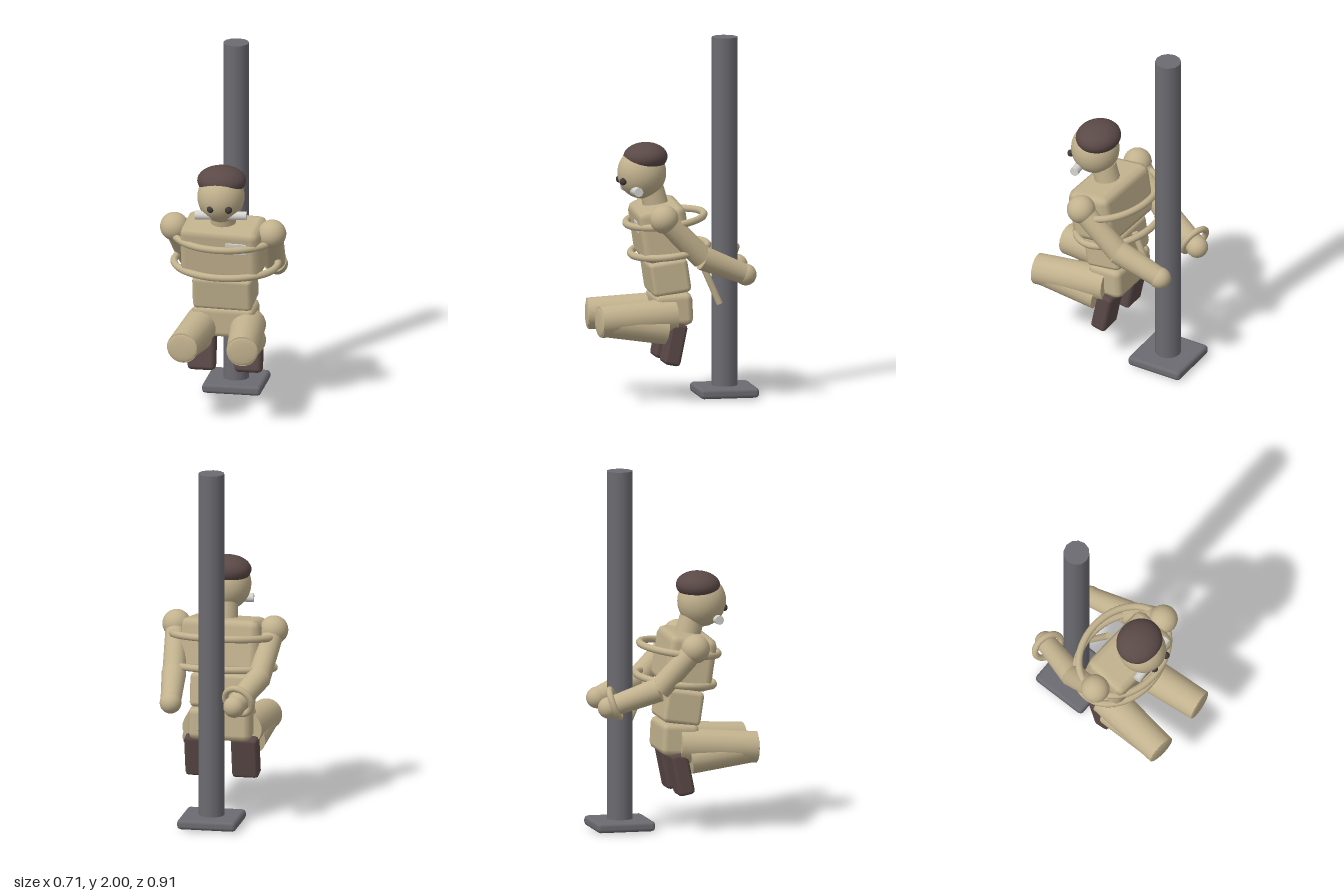
import * as THREE from 'three';
import { RoundedBoxGeometry } from 'three/addons/geometries/RoundedBoxGeometry.js';

const material = (name, color) => {
  const m = new THREE.MeshStandardMaterial({ color });
  m.name = name;
  return m;
};

export function createModel() {
  const model = new THREE.Group();
  const tan = material('tan', 0xc2b28e);
  const grey = material('post grey', 0x6c6b71);
  const brown = material('dark brown', 0x5a4947);
  const dark = material('eye dark', 0x423939);
  const white = material('pale grey', 0xd6d5d0);

  const add = (name, geometry, mat, pos, rot = [0, 0, 0], parent = model) => {
    const mesh = new THREE.Mesh(geometry, mat);
    mesh.name = name;
    mesh.position.set(...pos);
    mesh.rotation.set(...rot);
    parent.add(mesh);
    return mesh;
  };
  const box = (name, size, radius, mat, pos, rot, parent) =>
    add(name, new RoundedBoxGeometry(...size, 1, radius), mat, pos, rot, parent);
  const ball = (name, radii, mat, pos, rot) => {
    const mesh = add(name, new THREE.SphereGeometry(1, 32, 20), mat, pos, rot);
    mesh.scale.set(...radii);
    return mesh;
  };
  // Tapered cylinder from point a (radius ra) to point b (radius rb)
  const limb = (name, a, b, ra, rb, mat = tan, sides = 20) => {
    const start = new THREE.Vector3(...a), end = new THREE.Vector3(...b);
    const dir = end.clone().sub(start);
    const mesh = add(name, new THREE.CylinderGeometry(rb, ra, dir.length(), sides), mat,
      start.clone().add(end).multiplyScalar(0.5).toArray());
    mesh.quaternion.setFromUnitVectors(new THREE.Vector3(0, 1, 0), dir.normalize());
    return mesh;
  };

  // Post and its base plate
  add('post', new THREE.CylinderGeometry(0.072, 0.072, 2, 12), grey, [0, 1, -0.29]);
  box('basePlate', [0.33, 0.055, 0.33], 0.02, grey, [0, 0.034, -0.29]);

  // Trunk, leaning forward and turned slightly
  const lean = [0.15, -0.06, 0];
  box('chest', [0.45, 0.3, 0.27], 0.045, tan, [0, 0.94, 0.075], lean);
  box('abdomen', [0.335, 0.19, 0.215], 0.025, tan, [0, 0.69, 0.04], [0.15, -0.03, 0]);
  box('pelvis', [0.35, 0.18, 0.21], 0.035, tan, [0, 0.51, 0.02], [0.05, -0.02, 0]);
  box('chestPlate', [0.12, 0.065, 0.009], 0.004, white, [0.092, 0.972, 0.222], lean);

  // Head, neck and face
  limb('neck', [0, 1.05, 0.09], [0, 1.17, 0.12], 0.072, 0.068);
  ball('head', [0.13, 0.143, 0.135], tan, [0, 1.258, 0.175]);
  ball('hair', [0.135, 0.08, 0.122], brown, [0, 1.345, 0.155], [0.04, 0, 0]);
  for (const x of [-0.037, 0.064]) ball('eye', [0.02, 0.02, 0.02], dark, [x, 1.22, 0.293]);
  limb('mouthBar', [-0.132, 1.165, 0.245], [0.152, 1.17, 0.222], 0.025, 0.025, white, 12);

  // Arms reaching backwards
  const arms = [
    { shoulder: [-0.28, 1.035, 0.07], elbow: [-0.235, 0.81, -0.125], hand: [-0.147, 0.705, -0.39] },
    { shoulder: [0.273, 1.035, 0.105], elbow: [0.245, 0.81, -0.115], hand: [0.215, 0.705, -0.365] },
  ];
  for (const { shoulder, elbow, hand } of arms) {
    ball('shoulder', [0.079, 0.079, 0.079], tan, shoulder);
    limb('upperArm', shoulder, elbow, 0.06, 0.064);
    limb('forearm', elbow, hand, 0.068, 0.056);
    ball('hand', [0.06, 0.06, 0.06], tan, hand);
  }

  // Wrist loop, lined up with the forearm
  const loop = add('wristLoop', new THREE.TorusGeometry(0.082, 0.018, 10, 32), tan, [-0.165, 0.73, -0.36]);
  loop.quaternion.setFromUnitVectors(new THREE.Vector3(0, 0, 1),
    new THREE.Vector3(0.088, -0.105, -0.265).normalize());

  // Ropes around the trunk and a loose end behind
  const ropes = [[1.0, 0.045, 0.285, 0.215], [0.83, 0.022, 0.29, 0.212]];
  for (const [y, z, rx, rz] of ropes) {
    const points = [];
    for (let i = 0; i < 32; i++) {
      const a = (i / 32) * Math.PI * 2;
      points.push(new THREE.Vector3(Math.cos(a) * rx, 0, Math.sin(a) * rz));
    }
    const path = new THREE.CatmullRomCurve3(points, true);
    add('rope', new THREE.TubeGeometry(path, 64, 0.02, 10, true), tan, [0, y, z], [0.13, -0.05, 0]);
  }
  limb('looseRope', [0.065, 0.83, -0.115], [0.07, 0.525, -0.248], 0.018, 0.018, tan, 10);

  // Bent legs and boots
  for (const s of [-1, 1]) {
    const knee = [s * 0.168, 0.457, 0.445];
    limb('thigh', [s * 0.125, 0.475, 0.02], knee, 0.098, 0.087);
    limb('shin', [s * 0.15, 0.402, 0.07], [s * 0.167, 0.455, 0.43], 0.083, 0.08);
    ball('kneeCap', [0.086, 0.08, 0.012], tan, knee, [0, s * 0.1, 0]);
    box('boot', [0.15, 0.235, 0.095], 0.02, brown, [s * 0.131, 0.322, 0.023], [-0.2, 0, 0]);
  }

  return model;
}
